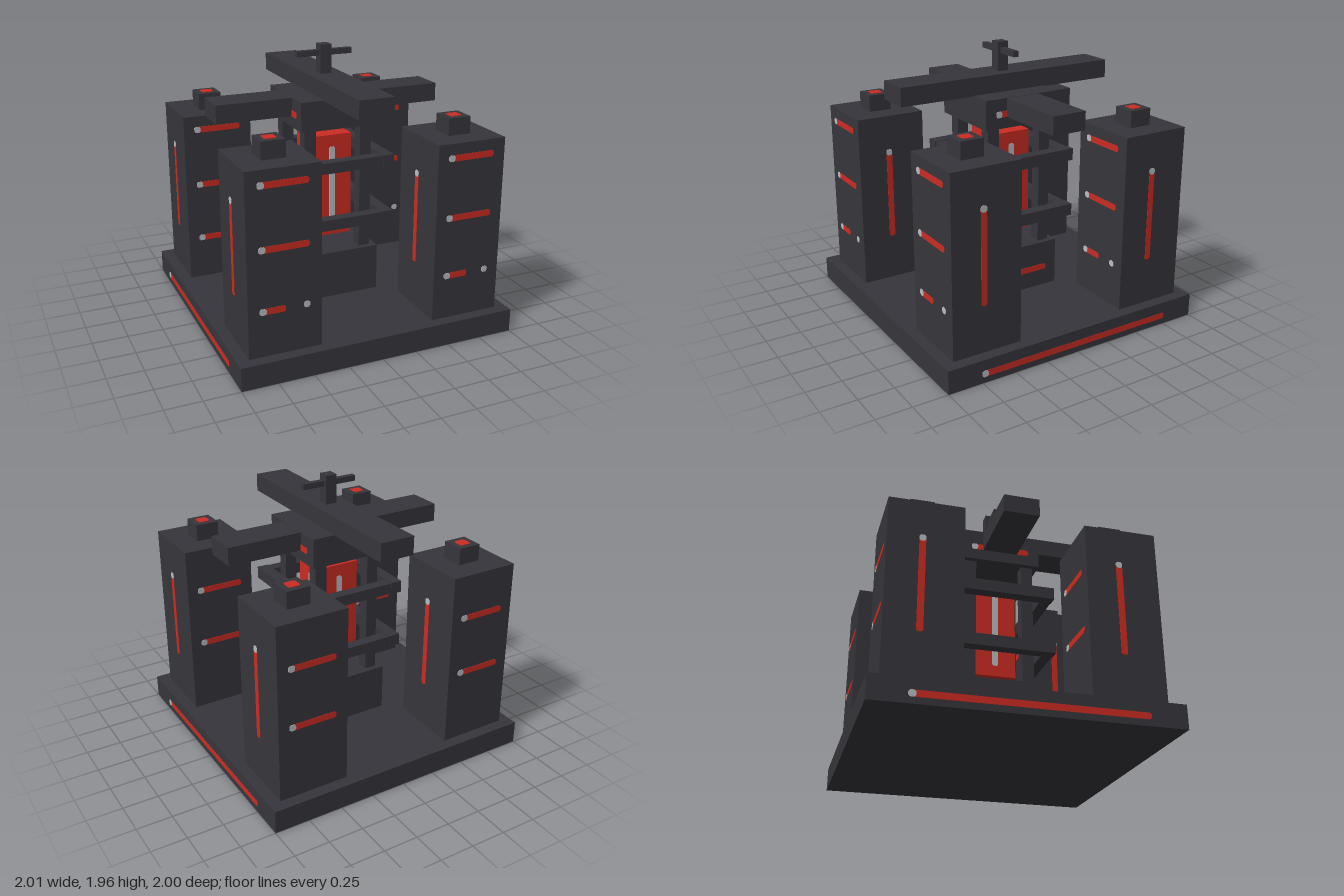
import * as THREE from 'three';

const material = (name, color) => {
  const m = new THREE.MeshStandardMaterial({ color });
  m.name = name;
  return m;
};

export function createModel() {
  const dark = material('dark casing', 0x36353b);
  const red = material('signal red', 0xca2c22);
  const silver = material('pale silver', 0xb9bec2);
  const model = new THREE.Group();
  model.name = 'reactorModel';

  // Box given by its centre in x and z, its size, and its bottom and top heights
  const box = (parent, name, mat, x, z, w, d, y0, y1) => {
    const mesh = new THREE.Mesh(new THREE.BoxGeometry(w, y1 - y0, d), mat);
    mesh.name = name;
    mesh.position.set(x, (y0 + y1) / 2, z);
    parent.add(mesh);
    return mesh;
  };

  // Thin plate with clipped corners, lying on a face plane
  const plate = (parent, name, mat, u0, u1, v0, v1, proud = 0.003) => {
    const c = 0.011;
    const shape = new THREE.Shape([
      [u0 + c, v0], [u1 - c, v0], [u1, v0 + c], [u1, v1 - c],
      [u1 - c, v1], [u0 + c, v1], [u0, v1 - c], [u0, v0 + c],
    ].map(([u, v]) => new THREE.Vector2(u, v)));
    const geometry = new THREE.ExtrudeGeometry(shape, { depth: 0.004 + proud, bevelEnabled: false });
    geometry.translate(0, 0, -0.004);
    const mesh = new THREE.Mesh(geometry, mat);
    mesh.name = name;
    parent.add(mesh);
  };

  // Group whose local z = 0 plane is a vertical face, turned by quarter turns
  const face = (parent, name, turns, distance) => {
    const pivot = new THREE.Group();
    pivot.name = name;
    pivot.rotation.y = turns * Math.PI / 2;
    const plane = new THREE.Group();
    plane.position.z = distance;
    pivot.add(plane);
    parent.add(pivot);
    return plane;
  };

  const W = 0.022; // half width of a light strip
  const strip = (f, u0, u1, v) => {
    plate(f, 'redStrip', red, u0 + 0.025, u1, v - W, v + W);
    plate(f, 'stripTip', silver, u0, u0 + 0.047, v - W, v + W, 0.004);
  };

  // Base slab with a strip on each side
  box(model, 'base', dark, 0, 0, 2, 2, 0, 0.165);
  for (const t of [1, 3]) strip(face(model, 'baseLights', t, 0.999), -0.755, 0.755, 0.065);

  // Four corner towers
  for (const x of [-0.665, 0.665]) {
    for (const z of [-0.665, 0.665]) {
      const tower = new THREE.Group();
      tower.name = 'tower';
      tower.position.set(x, 0, z);
      model.add(tower);
      box(tower, 'towerBody', dark, 0, 0, 0.505, 0.505, 0.165, 1.42);
      box(tower, 'towerCap', dark, 0, 0, 0.166, 0.166, 1.42, 1.54);

      const top = new THREE.Group();
      top.name = 'capLight';
      top.rotation.x = -Math.PI / 2;
      top.position.y = 1.54;
      tower.add(top);
      plate(top, 'capLamp', red, -0.042, 0.042, -0.042, 0.042);

      const front = face(tower, 'frontLights', 0, 0.2525);
      strip(front, -0.175, 0.167, 1.32);
      strip(front, -0.175, 0.167, 0.9);
      strip(front, -0.175, 0.002, 0.48);
      plate(front, 'silverDot', silver, 0.147 - W, 0.147 + W, 0.48 - W, 0.48 + W);

      const back = face(tower, 'backLights', 2, 0.2525);
      strip(back, -0.175, 0.167, 1.11);
      strip(back, -0.175, 0.167, 0.69);

      for (const t of [1, 3]) {
        const side = face(tower, 'sideLights', t, 0.2525);
        plate(side, 'redStrip', red, -0.022 - W, -0.022 + W, 0.497, 1.15);
        plate(side, 'stripTip', silver, -0.022 - W, -0.022 + W, 1.127, 1.172, 0.004);
      }
    }
  }

  // Central pedestal, posts and upper block
  box(model, 'pedestal', dark, 0, 0, 0.59, 0.59, 0.165, 0.505);
  for (const x of [-0.21, 0.21]) {
    for (const z of [-0.21, 0.21]) box(model, 'post', dark, x, z, 0.085, 0.085, 0.505, 1.42);
  }
  box(model, 'upperBlock', dark, 0, 0, 0.585, 0.585, 1.42, 1.63);
  for (const t of [1, 3]) {
    strip(face(model, 'pedestalLights', t, 0.295), -0.212, 0.212, 0.31);
    strip(face(model, 'blockLights', t, 0.2925), -0.212, 0.212, 1.52);
  }

  // Suspended core with a pale strip on every side
  box(model, 'core', red, 0, 0, 0.296, 0.296, 0.585, 1.337);
  for (let t = 0; t < 4; t++) {
    plate(face(model, 'coreLights', t, 0.148), 'coreStrip', silver, -W, W, 0.663, 1.252);
  }

  // Two square frames around the posts
  for (const y of [0.75, 1.17]) {
    for (const s of [-1, 1]) {
      box(model, 'frameSideBar', dark, s * 0.334, 0, 0.084, 0.75, y - 0.043, y + 0.043);
      box(model, 'frameCrossBar', dark, 0, s * 0.332, 0.6, 0.08, y - 0.039, y + 0.039);
    }
  }

  // Crossed beams and the handle on top
  box(model, 'lowerBeam', dark, 0, 0, 1.672, 0.252, 1.498, 1.628);
  box(model, 'upperBeam', dark, 0, 0, 0.252, 1.672, 1.625, 1.755);
  box(model, 'handlePost', dark, 0, 0, 0.082, 0.082, 1.755, 1.96);
  box(model, 'handleBar', dark, 0, 0, 0.414, 0.04, 1.88, 1.92);

  return model;
}
